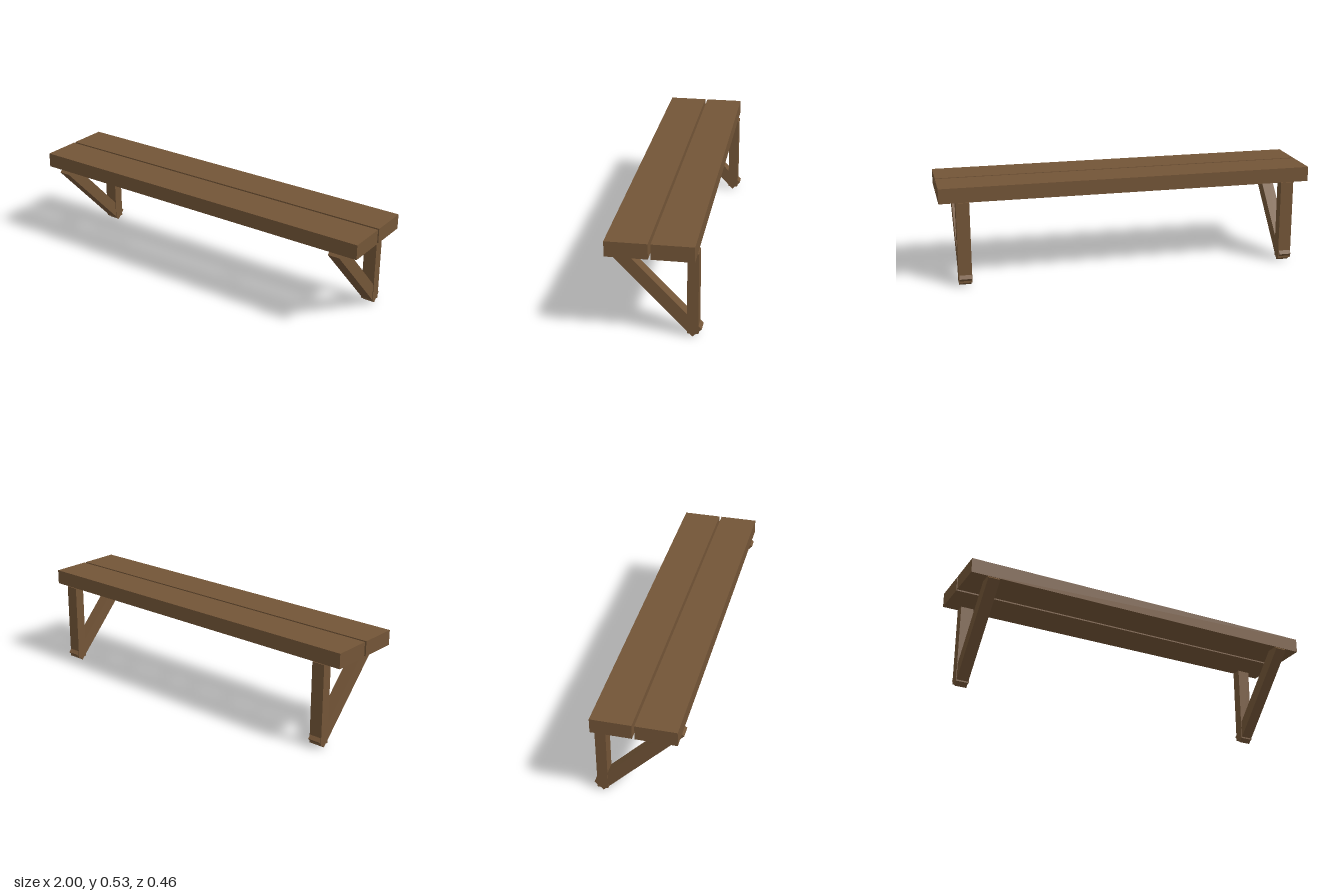
import * as THREE from 'three';

export function createModel() {
  const group = new THREE.Group();
  const wood = new THREE.MeshStandardMaterial({ color: 0x735537 });
  wood.name = 'brown wood';

  const beam = (name, size, position, tilt = 0) => {
    const mesh = new THREE.Mesh(new THREE.BoxGeometry(...size), wood);
    mesh.name = name;
    mesh.position.set(...position);
    mesh.rotation.x = tilt;
    group.add(mesh);
  };

  // Seat: two long planks with a narrow gap
  beam('frontPlank', [2, 0.079, 0.208], [0, 0.4895, 0.117]);
  beam('backPlank', [2, 0.079, 0.207], [0, 0.4895, -0.1035]);

  // Supports: an upright post and a slightly narrower diagonal brace at each end
  for (const [side, x] of [['left', 0.88], ['right', -0.88]]) {
    beam(side + 'Post', [0.07, 0.432, 0.055], [x, 0.234, -0.1855]);
    beam(side + 'Brace', [0.064, 0.602, 0.064], [x, 0.2405, 0.001], Math.atan2(0.414, 0.437));
  }

  return group;
}
